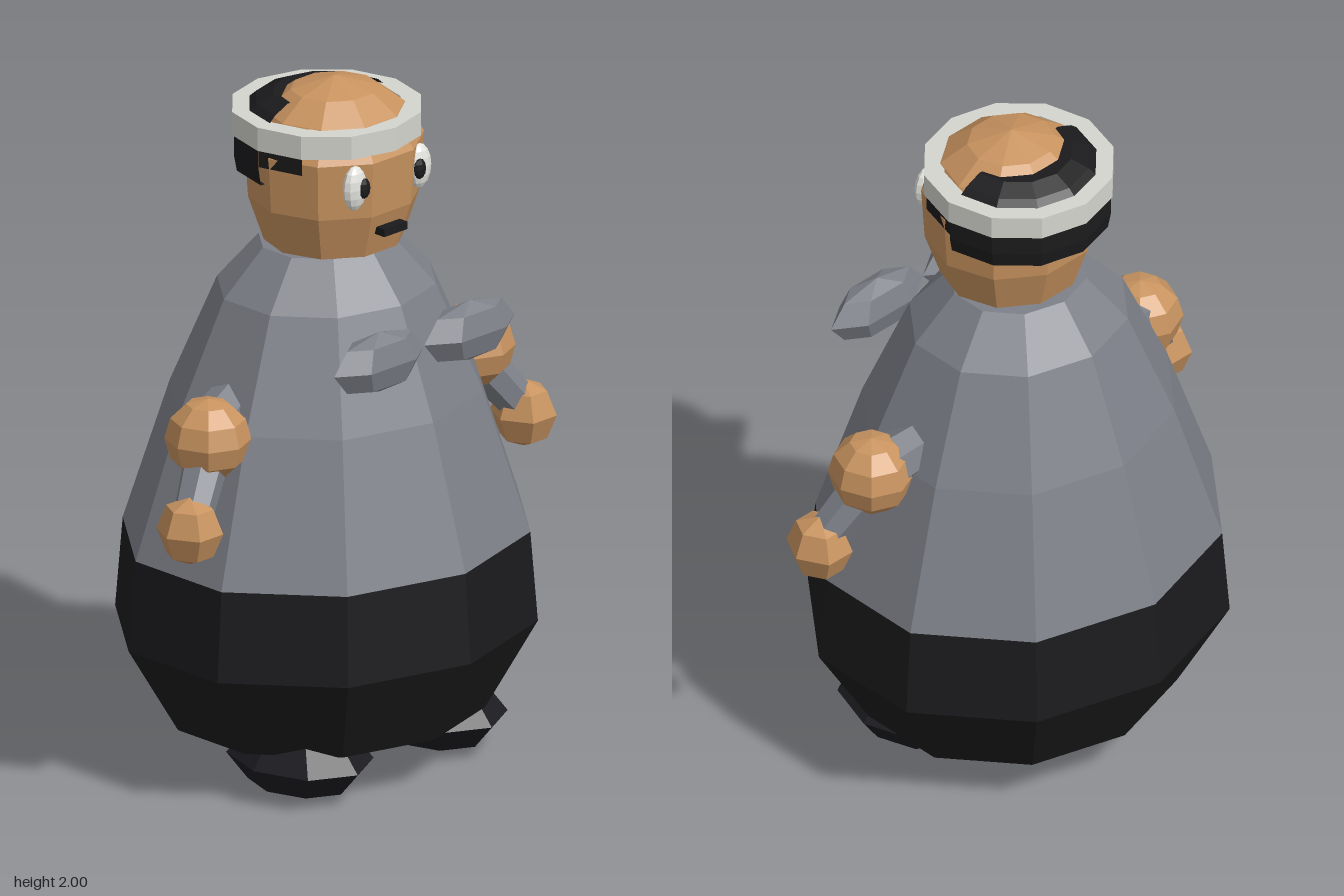
import * as THREE from 'three';

const mat = (color) => new THREE.MeshStandardMaterial({ color, flatShading: true, side: THREE.DoubleSide });
const SKIN = mat(0xc8935f), GREY = mat(0x7d8088), BLACK = mat(0x1b1b1d),
  SHOE = mat(0x1c1c21), BAND = mat(0xd3d5cd), WHITE = mat(0xe4e4e0);

export function createModel() {
  const root = new THREE.Group();

  function add(name, geometry, material, x = 0, y = 0, z = 0) {
    const mesh = new THREE.Mesh(geometry, material);
    mesh.name = name;
    mesh.position.set(x, y, z);
    root.add(mesh);
    return mesh;
  }
  // Faceted lathe from [radius, height] pairs
  function lathe(profile, sides, start = 0, sweep = Math.PI * 2) {
    return new THREE.LatheGeometry(profile.map(([r, y]) => new THREE.Vector2(r, y)), sides, start, sweep);
  }
  // Low-poly ellipsoid
  function blob(rx, ry, rz, sides, rings) {
    return new THREE.SphereGeometry(1, sides, rings).scale(rx, ry, rz);
  }
  // Straight tube between two points
  function limb(name, a, b, r0, r1, material) {
    const from = new THREE.Vector3(...a), to = new THREE.Vector3(...b);
    const dir = to.clone().sub(from);
    const mesh = add(name, new THREE.CylinderGeometry(r1, r0, dir.length(), 7), material);
    mesh.position.copy(from).add(to).multiplyScalar(0.5);
    mesh.quaternion.setFromUnitVectors(new THREE.Vector3(0, 1, 0), dir.normalize());
  }

  // Ten-sided body, slightly wider than deep
  const trousers = lathe([[0, 0.15], [0.42, 0.15], [0.56, 0.41], [0.54, 0.67]], 10);
  add('trousers', trousers.scale(1.118, 1, 1), BLACK);
  const shirt = lathe([[0.54, 0.67], [0.415, 1.08], [0.29, 1.39], [0.18, 1.52], [0, 1.525]], 10);
  add('shirt', shirt.scale(1.118, 1, 1), GREY);

  // Head with a flat facet to the front
  const head = lathe([[0, 1.505], [0.14, 1.512], [0.2, 1.53], [0.245, 1.66], [0.255, 1.82],
    [0.2, 1.91], [0.125, 1.965], [0, 2]], 10, Math.PI / 10);
  add('head', head.scale(1, 1, 0.95), SKIN, 0, 0, 0.03);

  // Hair around the back, with a sideburn ahead of each ear
  add('hair', lathe([[0.19, 1.73], [0.255, 1.735], [0.263, 1.78], [0.263, 1.87],
    [0.2, 1.925], [0.15, 1.947], [0.09, 1.945]], 6, Math.PI / 2, Math.PI), BLACK);
  for (const start of [Math.PI / 3, Math.PI * 1.5]) {
    add('sideburn', lathe([[0.21, 1.79], [0.261, 1.79], [0.261, 1.85], [0.21, 1.85]], 1, start, Math.PI / 6), BLACK);
  }

  // Headband
  add('headband', lathe([[0.21, 1.84], [0.268, 1.84], [0.268, 1.908], [0.21, 1.908], [0.21, 1.84]], 12), BAND);

  add('mouth', new THREE.BoxGeometry(0.09, 0.022, 0.06), BLACK, 0, 1.61, 0.24);

  for (const s of [-1, 1]) {
    // Face
    add('eye', blob(0.04, 0.065, 0.025, 10, 8), WHITE, s * 0.125, 1.755, 0.235);
    add('pupil', blob(0.022, 0.03, 0.012, 8, 6), BLACK, s * 0.108, 1.755, 0.255);

    // Bow in front of the chest
    add('bowHalf', blob(0.175, 0.0875, 0.067, 6, 4), GREY, s * 0.175, 1.298, 0.38);

    // Arm
    limb('sleeve', [s * 0.36, 1.13, 0], [s * 0.5, 1.08, 0.04], 0.07, 0.08, GREY);
    add('shoulder', blob(0.118, 0.117, 0.122, 8, 6), SKIN, s * 0.512, 1.075, 0.052);
    limb('forearm', [s * 0.52, 1.04, 0.06], [s * 0.64, 0.88, 0.115], 0.065, 0.055, GREY);
    add('hand', blob(0.09, 0.098, 0.098, 6, 4), SKIN, s * 0.647, 0.857, 0.117);

    // Foot
    add('foot', blob(0.18, 0.105, 0.225, 8, 4), SHOE, s * 0.26, 0.105, 0.157);
  }

  return root;
}
